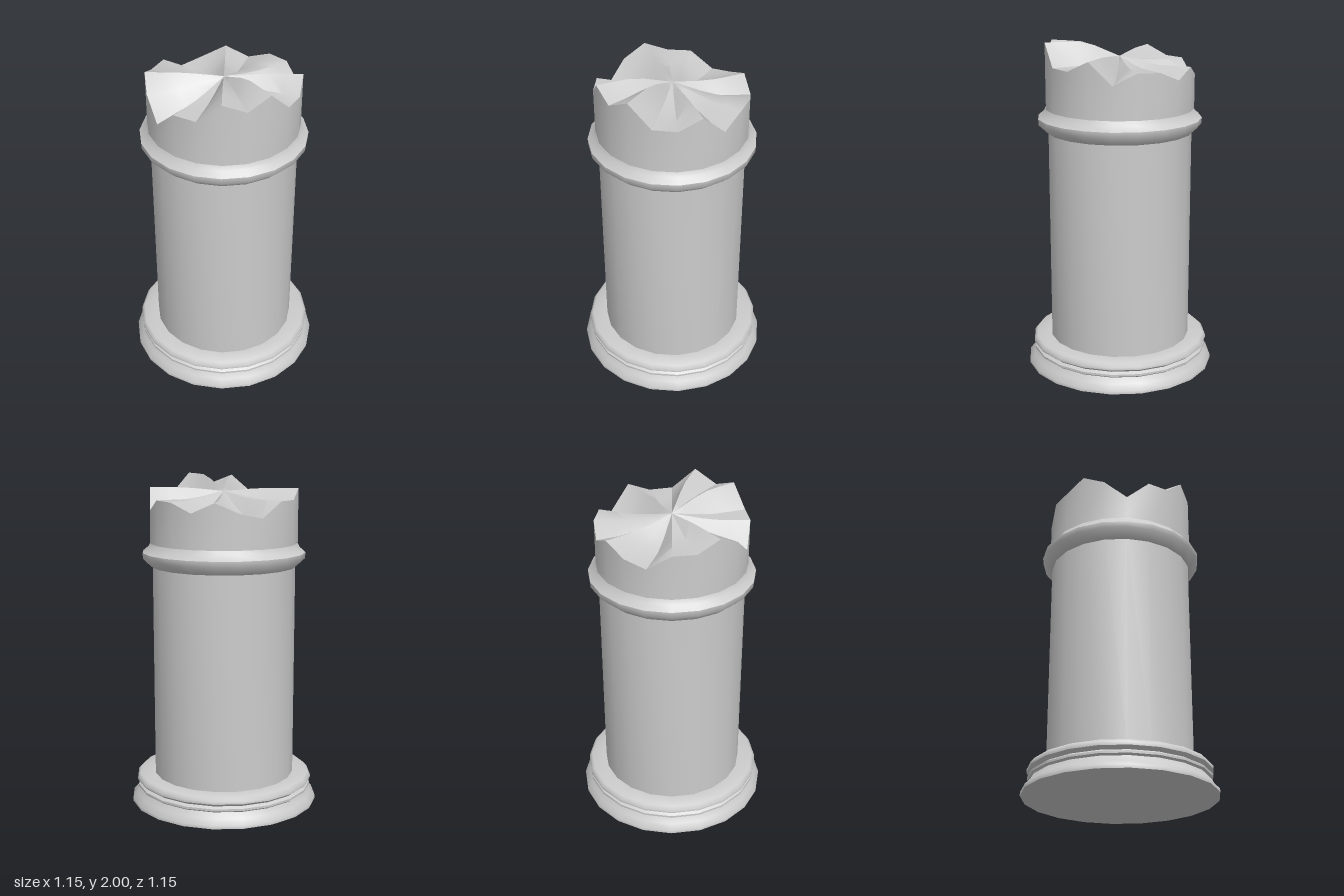
import * as THREE from 'three';
import { toCreasedNormals } from 'three/addons/utils/BufferGeometryUtils.js';

const SIDES = 20;
const material = new THREE.MeshStandardMaterial({ color: 0xcccccc });

function addMesh(group, name, geometry, crease = 0.65) {
  const mesh = new THREE.Mesh(toCreasedNormals(geometry, crease), material);
  mesh.name = name;
  group.add(mesh);
}

function turned(points) {
  return new THREE.LatheGeometry(points.map(([r, y]) => new THREE.Vector2(r, y)), SIDES);
}

// Broken top: a wall rising to an uneven rim, then a jagged cap falling to the centre
function brokenTop(radius, baseY, centreY, rim) {
  const rings = [
    [radius, null], // foot of the wall
    [radius, 1],
    [0.34, 1],
    [0.25, 0.98],
    [0.16, 0.72],
    [0.08, 0.36],
    [0, 0],
  ];
  const positions = [];
  const index = [];
  rings.forEach(([r, follow], i) => {
    for (let j = 0; j < SIDES; j++) {
      const a = (j / SIDES) * Math.PI * 2;
      const y = follow === null ? baseY : centreY + (rim[j] - centreY) * follow;
      positions.push(r * Math.cos(a), y, r * Math.sin(a));
      if (i === rings.length - 1) continue;
      const k = (j + 1) % SIDES;
      const p = i * SIDES + j, q = i * SIDES + k;
      index.push(p, p + SIDES, q);
      if (i < rings.length - 2) index.push(q, p + SIDES, q + SIDES);
    }
  });
  const geometry = new THREE.BufferGeometry();
  geometry.setAttribute('position', new THREE.Float32BufferAttribute(positions, 3));
  geometry.setIndex(index);
  return geometry;
}

export function createModel() {
  const column = new THREE.Group();
  column.name = 'brokenColumn';

  // Moulded foot with a flat underside
  addMesh(column, 'base', turned([
    [0, 0], [0.575, 0], [0.575, 0.02], [0.545, 0.05], [0.525, 0.085], [0.538, 0.095],
    [0.538, 0.108], [0.52, 0.12], [0.543, 0.138], [0.543, 0.155], [0.525, 0.175], [0.42, 0.175],
  ]), 0.9);

  addMesh(column, 'shaft', turned([[0.432, 0.175], [0.432, 1.47]]));

  // Raised ring below the break
  addMesh(column, 'collar', turned([
    [0.425, 1.465], [0.437, 1.465], [0.49, 1.515], [0.492, 1.55], [0.458, 1.578], [0.445, 1.605],
  ]), 0.9);

  // Rim heights, every 18 degrees from +x towards +z
  const rim = [
    1.865, 1.87, 1.8, 1.93, 1.865, 1.87, 2.0, 1.93, 1.985, 1.87,
    1.87, 1.75, 1.865, 1.93, 1.87, 1.87, 1.78, 1.81, 1.87, 1.81,
  ];
  addMesh(column, 'brokenTop', brokenTop(0.445, 1.6, 1.91, rim));

  return column;
}
